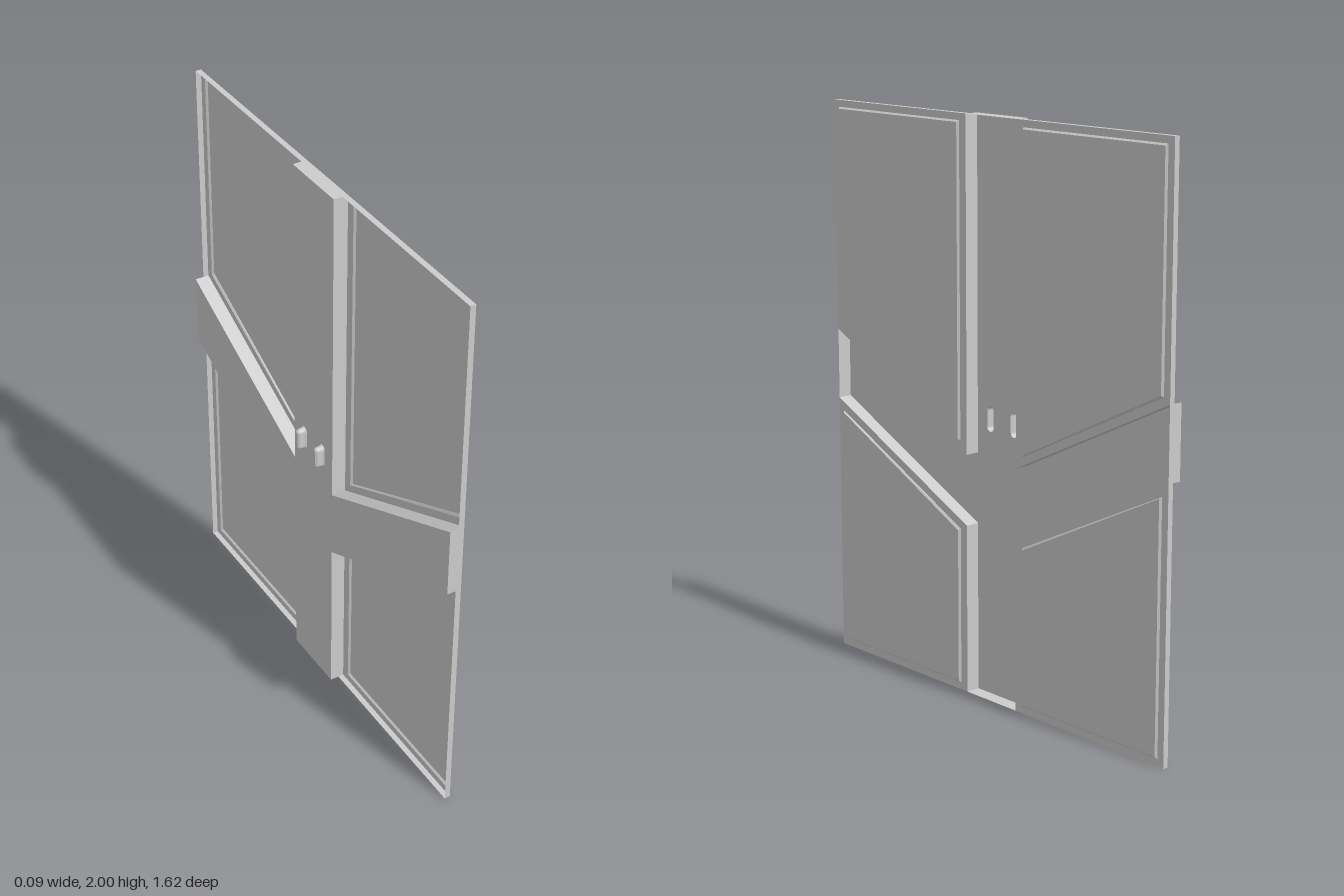
import * as THREE from 'three';

const material = new THREE.MeshStandardMaterial({ color: 0xcccccc, side: THREE.DoubleSide });

// Depths of the pressed sheet along x
const FLOOR = -0.016, LIP = 0.015, RIM = 0.035, RAISED = 0.042, KNOB = -0.047;
const W = 0.81, S = 0.122, H = 2; // half width, half post width, height

// Profiles are [z, y] points; m = -1 mirrors them to the other side
const mirror = (pts, m) => pts.map(([z, y]) => [z * m, y]);
const toShape = pts => new THREE.Shape(pts.map(p => new THREE.Vector2(...p)));

function addMesh(parent, name, geometry) {
  const mesh = new THREE.Mesh(geometry, material);
  mesh.name = name;
  parent.add(mesh);
}

// Flat sheet in the yz plane at depth x
function sheet(pts, x, holes = []) {
  const shape = toShape(pts);
  shape.holes = holes.map(toShape);
  return new THREE.ShapeGeometry(shape).rotateY(-Math.PI / 2).translate(x, 0, 0);
}

// Strip of quads from one list of [z, y] points to another
function band(a, xa, b, xb, closed = true) {
  const pos = [];
  const n = a.length;
  for (let i = 0; i < (closed ? n : n - 1); i++) {
    const j = (i + 1) % n;
    const p = [xa, a[i][1], a[i][0]], q = [xa, a[j][1], a[j][0]];
    const r = [xb, b[j][1], b[j][0]], s = [xb, b[i][1], b[i][0]];
    pos.push(...p, ...q, ...r, ...p, ...r, ...s);
  }
  const g = new THREE.BufferGeometry();
  g.setAttribute('position', new THREE.Float32BufferAttribute(pos, 3));
  g.computeVertexNormals();
  return g;
}

// Upright slot outline with rounded ends
function slot(cz, cy, halfW, halfH, steps = 8) {
  const pts = [];
  for (let end = 0; end < 2; end++) {
    for (let i = 0; i <= steps; i++) {
      const a = Math.PI * (end + i / steps);
      pts.push([cz + halfW * Math.cos(a), cy + (end ? -1 : 1) * (halfH - halfW) + halfW * Math.sin(a)]);
    }
  }
  return pts;
}

function addPanel(parent, name, outline, inset, m) {
  const group = new THREE.Group();
  group.name = name;
  parent.add(group);
  const outer = mirror(outline, m), low = mirror(inset, m);
  // the raised field is slightly smaller than its foot
  const cz = low.reduce((t, p) => t + p[0], 0) / 4, cy = low.reduce((t, p) => t + p[1], 0) / 4;
  const top = low.map(([z, y]) => [z - 0.006 * Math.sign(z - cz), y - 0.006 * Math.sign(y - cy)]);
  addMesh(group, 'panelRim', band(outer, RIM, low, RIM));
  addMesh(group, 'panelBevel', band(low, RIM, top, RAISED));
  addMesh(group, 'panelField', sheet(top, RAISED));
  // deep walls border the recess, shallow lips run along the outer edge
  const deep = outer.slice(1, 4), lip = [outer[3], outer[0], outer[1]];
  addMesh(group, 'recessWall', band(deep, RIM, deep, FLOOR, false));
  addMesh(group, 'edgeLip', band(lip, RIM, lip, LIP, false));
}

export function createModel() {
  const model = new THREE.Group();
  model.name = 'panelledDoor';

  // Four raised panels; points run outer corner, post, post, outer edge
  const upper = [[W, H], [S, H], [S, 0.85], [W, 1.185]];
  const upperInset = [[0.784, 1.976], [0.154, 1.976], [0.154, 0.895], [0.784, 1.203]];
  const lower = [[W, 0], [S, 0], [S, 0.6], [W, 0.933]];
  const lowerInset = [[0.784, 0.026], [0.154, 0.026], [0.154, 0.583], [0.784, 0.889]];
  for (const m of [1, -1]) {
    const side = m > 0 ? 'Front' : 'Rear';
    addPanel(model, 'upper' + side + 'Panel', upper, upperInset, m);
    addPanel(model, 'lower' + side + 'Panel', lower, lowerInset, m);
  }

  // Recessed post with two slanting arms, open behind the handles
  const half = [[S, 0], [S, 0.6], [W, 0.933], [W, 1.185], [S, 0.85], [S, H]];
  const cross = [...half, ...mirror(half, -1).reverse()];
  const handles = [0.058, -0.058].map(z => slot(z, 0.977, 0.016, 0.044));
  addMesh(model, 'recessFloor', sheet(cross, FLOOR, handles));

  // Walls closing the ends of the post and arms
  const ends = [[[S, 0], [-S, 0]], [[S, H], [-S, H]], [[W, 0.933], [W, 1.185]], [[-W, 0.933], [-W, 1.185]]];
  for (const e of ends) addMesh(model, 'endWall', band(e, FLOOR, e, RIM, false));

  // Hollow tapered handles with rounded tips
  for (const z of [0.058, -0.058]) {
    const levels = [[FLOOR, 0.016, 0.044], [-0.024, 0.013, 0.041], [-0.041, 0.011, 0.039], [KNOB, 0.006, 0.034]];
    const loops = levels.map(([, w, h]) => slot(z, 0.977, w, h));
    const handle = new THREE.Group();
    handle.name = 'handle';
    model.add(handle);
    for (let i = 0; i < 3; i++) {
      addMesh(handle, 'handleSide', band(loops[i], levels[i][0], loops[i + 1], levels[i + 1][0]));
    }
    addMesh(handle, 'handleTip', sheet(loops[3], KNOB));
  }
  return model;
}
